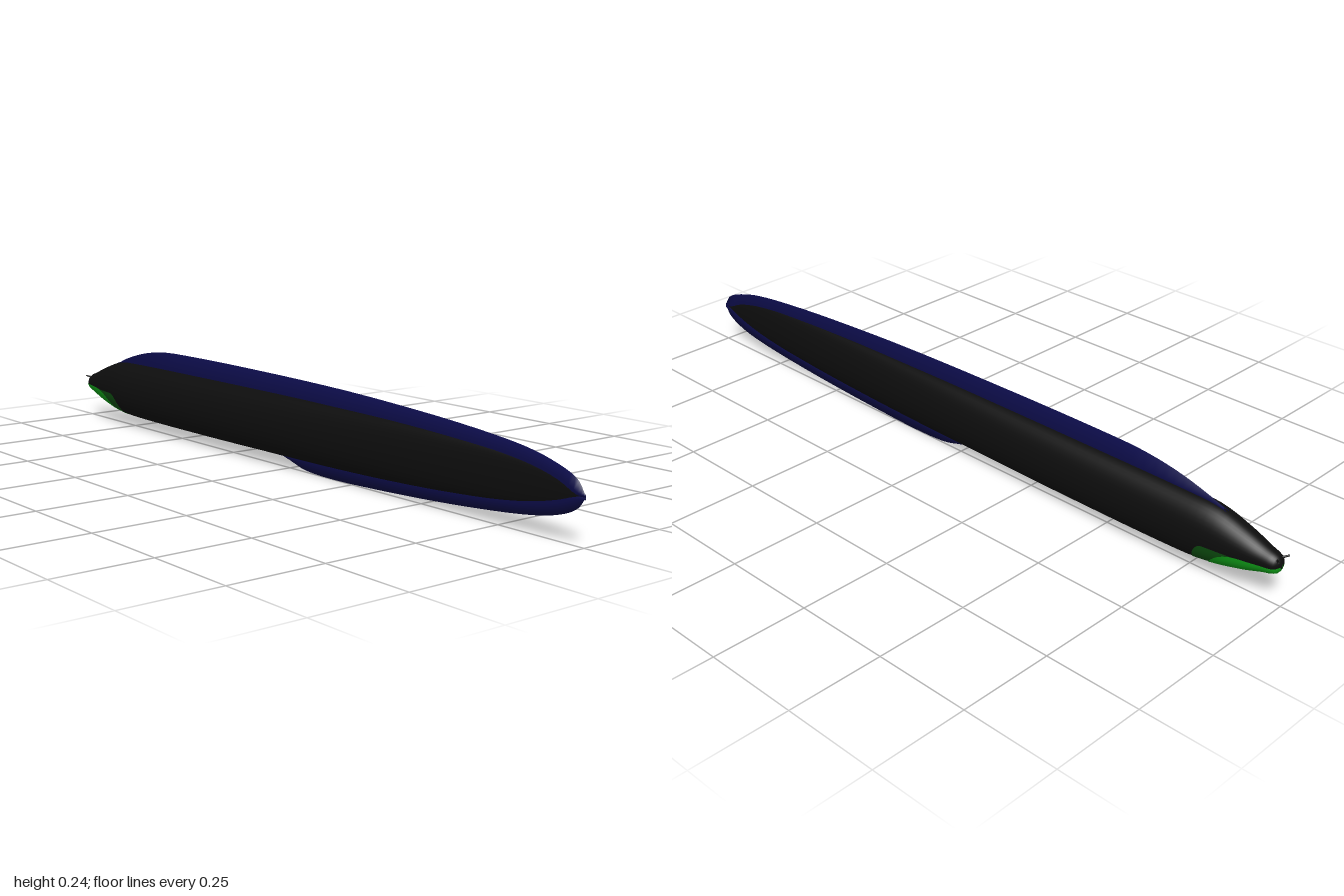
import * as THREE from 'three';
import { mergeVertices } from 'three/addons/utils/BufferGeometryUtils.js';

// body sections: z, half width, top, bottom
const BODY = [
  [-0.994, 0.002, 0.11, 0.1], [-0.985, 0.02, 0.126, 0.086], [-0.95, 0.03, 0.14, 0.075],
  [-0.9, 0.04, 0.16, 0.059], [-0.82, 0.049, 0.185, 0.04], [-0.74, 0.053, 0.19, 0.031],
  [-0.4, 0.052, 0.192, 0.028], [0, 0.045, 0.192, 0.03], [0.2, 0.038, 0.19, 0.032],
  [0.4, 0.03, 0.187, 0.037], [0.6, 0.021, 0.18, 0.046], [0.8, 0.011, 0.167, 0.062],
  [0.92, 0.005, 0.145, 0.083], [0.985, 0.001, 0.115, 0.105],
];
// fin edges: z, y
const TOP_FIN = [
  [-0.84, 0.178], [-0.8, 0.196], [-0.7, 0.224], [-0.6, 0.239], [-0.5, 0.243], [-0.2, 0.243],
  [0.2, 0.236], [0.5, 0.222], [0.7, 0.207], [0.84, 0.19], [0.93, 0.167], [0.98, 0.143], [1, 0.112],
];
const BOTTOM_FIN = [
  [-0.05, 0.033], [0, 0.021], [0.06, 0.006], [0.14, 0.001], [0.25, 0.002], [0.5, 0.013],
  [0.7, 0.027], [0.85, 0.043], [0.93, 0.06], [0.98, 0.083], [1, 0.11],
];

// smooth value of one table column at z
function sample(table, z, col) {
  const last = table.length - 1;
  z = THREE.MathUtils.clamp(z, table[0][0], table[last][0]);
  let i = 0;
  while (i < last - 1 && z > table[i + 1][0]) i++;
  const slope = (k) => {
    const a = table[Math.max(k - 1, 0)], b = table[Math.min(k + 1, last)];
    return (b[col] - a[col]) / (b[0] - a[0]);
  };
  const a = table[i], b = table[i + 1], d = b[0] - a[0], t = (z - a[0]) / d;
  const t2 = t * t, t3 = t2 * t;
  return (2 * t3 - 3 * t2 + 1) * a[col] + (t3 - 2 * t2 + t) * d * slope(i)
    + (3 * t2 - 2 * t3) * b[col] + (t3 - t2) * d * slope(i + 1);
}

// grid surface from point(u, v): v runs around the section, u along z
function surface(point, rows, cols) {
  const pos = [], index = [];
  for (let i = 0; i <= rows; i++) {
    for (let j = 0; j <= cols; j++) {
      pos.push(...point(i / rows, j / cols));
      if (i < rows && j < cols) {
        const a = i * (cols + 1) + j, c = a + cols + 1;
        index.push(a, a + 1, c, a + 1, c + 1, c);
      }
    }
  }
  let g = new THREE.BufferGeometry();
  g.setAttribute('position', new THREE.Float32BufferAttribute(pos, 3));
  g.setIndex(index);
  g = mergeVertices(g, 1e-6);
  g.computeVertexNormals();
  return g;
}

// point on the body skin; angle is measured from the belly
function skin(z, angle, lift = 0) {
  const w = sample(BODY, z, 1), top = sample(BODY, z, 2), bottom = sample(BODY, z, 3);
  return [(w + lift) * Math.sin(angle),
    (top + bottom) / 2 - ((top - bottom) / 2 + lift) * Math.cos(angle), z];
}

const cosine = (a, b, u) => a + (b - a) * (1 - Math.cos(Math.PI * u)) / 2;

// thin tapered fin that follows an edge table
function finGeometry(table, bodyCol) {
  const sign = bodyCol === 2 ? 1 : -1;
  const z0 = table[0][0];
  return surface((u, v) => {
    const z = cosine(z0, 1, u);
    const edge = sample(table, z, 1), root = sample(BODY, z, bodyCol);
    const w = 0.005 * Math.sqrt(Math.max(0, 1 - u ** 6));
    const mid = 0.11;
    const ring = [[0, edge], [-w * sign, root], [-w * sign * 0.3, mid],
      [w * sign * 0.3, mid], [w * sign, root], [0, edge]];
    const [x, y] = ring[Math.round(v * 5)];
    return [x, y, z];
  }, 60, 5);
}

// belly patch with a rounded rear end
function throatGeometry(rear, rounding, halfAngle, lift) {
  return surface((u, v) => {
    const z = cosine(-0.993, rear, u);
    const t = Math.min(1, (rear - z) / rounding);
    const spread = halfAngle * Math.sqrt(Math.max(0, 1 - (1 - t) ** 2));
    return skin(z, (v * 2 - 1) * spread, lift);
  }, 30, 20);
}

export function createModel() {
  const group = new THREE.Group();
  const material = (name, color, side = THREE.FrontSide) => {
    const m = new THREE.MeshStandardMaterial({ color, side });
    m.name = name;
    return m;
  };
  const black = material('black skin', 0x0d0d0d);
  const blue = material('dark blue fin', 0x0c0c48, THREE.DoubleSide);
  const green = material('green throat', 0x10a018, THREE.DoubleSide);
  const darkGreen = material('dark green throat', 0x0d4f10, THREE.DoubleSide);

  const add = (name, geometry, mat) => {
    const mesh = new THREE.Mesh(geometry, mat);
    mesh.name = name;
    group.add(mesh);
    return mesh;
  };

  // long oval body, blunt snout, thin tail
  add('body', surface((u, v) => skin(cosine(-0.994, 0.985, u), v * Math.PI * 2), 80, 40), black);

  // fins meeting at the tail
  add('topFin', finGeometry(TOP_FIN, 2), blue);
  add('bottomFin', finGeometry(BOTTOM_FIN, 3), blue);

  // coloured underside of the head
  add('throatCollar', throatGeometry(-0.77, 0.04, 1.35, 0.001), darkGreen);
  add('lowerJaw', throatGeometry(-0.81, 0.1, 1.4, 0.002), green);

  // small nostril tubes at the snout
  for (const side of [-1, 1]) {
    const nostril = add(side > 0 ? 'leftNostril' : 'rightNostril',
      new THREE.CylinderGeometry(0.002, 0.003, 0.022, 8), black);
    nostril.position.set(side * 0.014, 0.122, -0.989);
    nostril.quaternion.setFromUnitVectors(new THREE.Vector3(0, 1, 0),
      new THREE.Vector3(side * 0.7, 0.25, -0.65).normalize());
  }
  return group;
}
